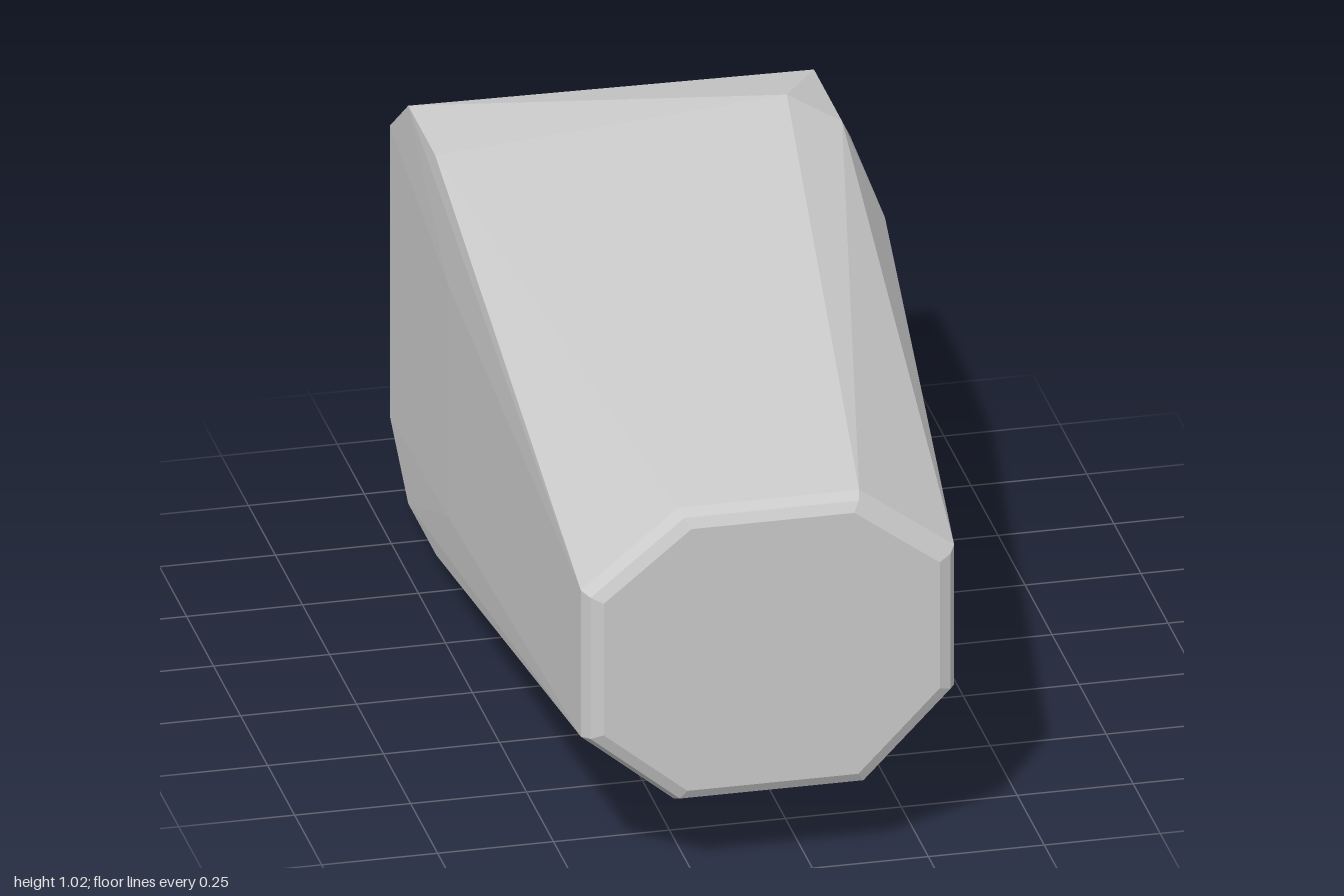
import * as THREE from 'three';
import { ConvexGeometry } from 'three/addons/geometries/ConvexGeometry.js';

// Outline of the small front end, an uneven octagon
const frontOutline = [
  [-0.28, 0.85], [0.11, 0.85], [0.315, 0.70], [0.315, 0.375],
  [0.12, 0.175], [-0.29, 0.175], [-0.49, 0.34], [-0.49, 0.68],
];

// Rounded front rim: z and scale of each ring
const rimRings = [[0.96, 1], [0.988, 0.965], [1, 0.9]];

// Corners of the wide rear end
const rearCorners = [
  // back face
  [-0.445, 0.85, -1], [0.485, 0.85, -1], [-0.445, 0.175, -1], [0.485, 0.175, -1],
  // top ridge and chamfers
  [-0.445, 0.975, -0.83], [-0.445, 0.975, -0.58], [0.32, 1.02, -0.61],
  [0.43, 0.965, -0.83], [0.43, 0.965, -0.57],
  // left flank
  [0.485, 0.85, -0.73], [0.485, 0.81, -0.41], [0.485, 0.175, -0.73], [0.485, 0.22, -0.41],
  // right flank
  [-0.464, 0.77, -0.38], [-0.464, 0.23, -0.38],
  // underside
  [-0.445, 0.05, -0.83], [-0.445, 0.05, -0.57], [-0.13, 0.015, -0.6],
  [0.32, 0.015, -0.6], [0.32, 0, -0.88], [0.43, 0.06, -0.83], [0.43, 0.06, -0.57],
];

export function createModel() {
  const points = rearCorners.map((p) => new THREE.Vector3(...p));
  const cx = -0.088, cy = 0.512;
  for (const [z, s] of rimRings) {
    for (const [x, y] of frontOutline) {
      points.push(new THREE.Vector3(cx + (x - cx) * s, cy + (y - cy) * s, z));
    }
  }

  // The solid is one faceted convex body
  const body = new THREE.Mesh(
    new ConvexGeometry(points),
    new THREE.MeshStandardMaterial({ color: 0xcccccc, flatShading: true }),
  );
  body.name = 'taperedBody';

  const group = new THREE.Group();
  group.name = 'taperedBlock';
  group.add(body);
  return group;
}
